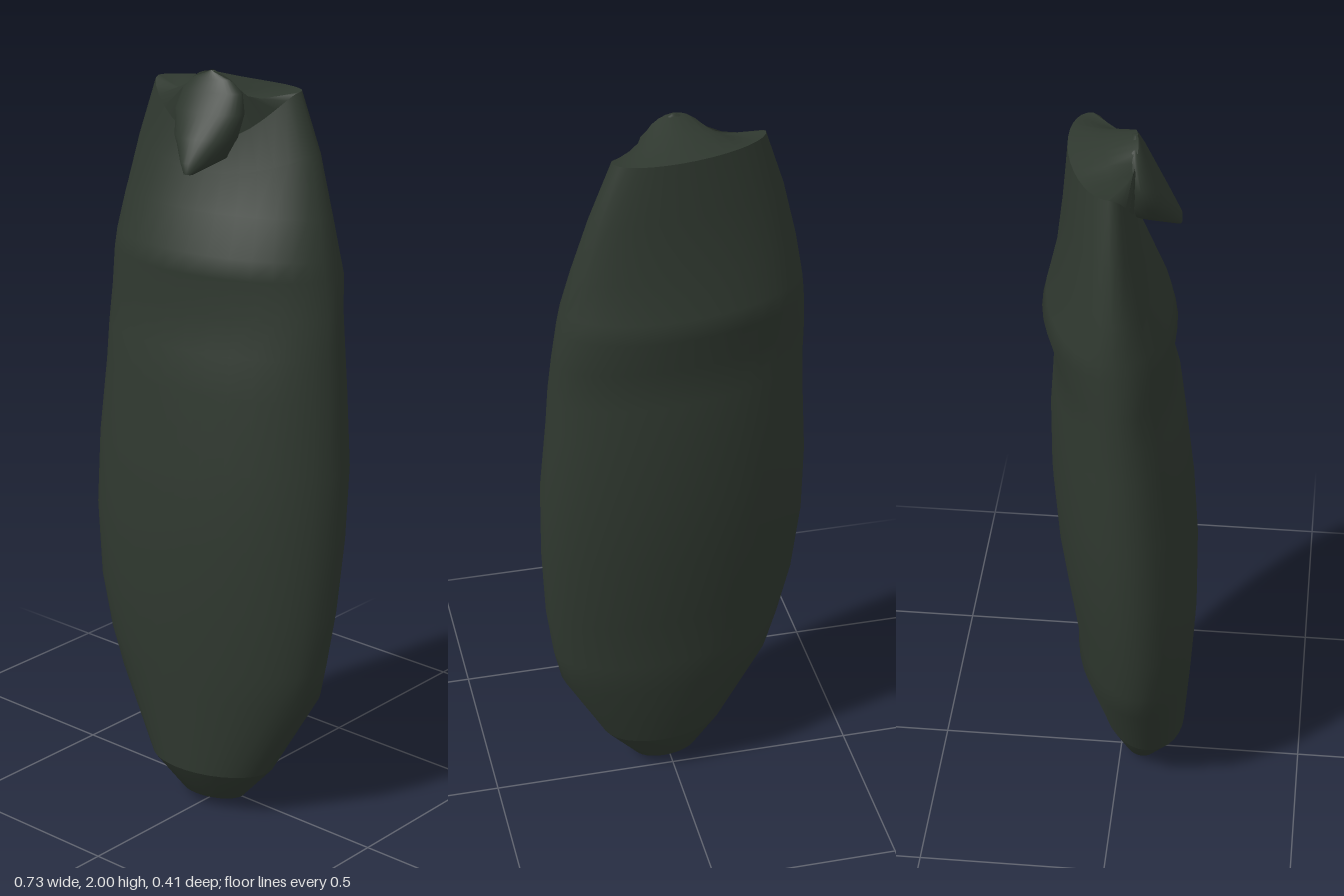
import * as THREE from 'three';

const N = 32;

// Elliptical ring: y, left/right x, front/back z, sideways skew, dip of the front edge
function ring([y, x0, x1, zf, zb, skew = 0.12, dip = 0]) {
  const pts = [];
  for (let i = 0; i < N; i++) {
    const a = (i / N) * Math.PI * 2;
    const c = Math.cos(a), s = Math.sin(a), w = (x1 - x0) / 2;
    pts.push(new THREE.Vector3(
      (x0 + x1) / 2 + w * c,
      y - (s > 0 ? dip * s * s : 0),
      (zf + zb) / 2 + ((zf - zb) / 2) * s - skew * w * c
    ));
  }
  return pts;
}

// Skin over rows of points
function loft(rows, closed) {
  const n = rows[0].length, idx = [];
  for (let r = 0; r < rows.length - 1; r++) {
    for (let c = 0; c < (closed ? n : n - 1); c++) {
      const d = (c + 1) % n, p = r * n, q = p + n;
      idx.push(p + c, q + c, p + d, q + c, q + d, p + d);
    }
  }
  const g = new THREE.BufferGeometry().setFromPoints(rows.flat());
  g.setIndex(idx);
  g.computeVertexNormals();
  return g;
}

export function createModel() {
  const group = new THREE.Group();
  const mat = new THREE.MeshStandardMaterial({ color: 0x2f382f, side: THREE.DoubleSide });
  mat.name = 'dark green';
  const add = (name, geo) => {
    const m = new THREE.Mesh(geo, mat);
    m.name = name;
    group.add(m);
  };

  // Long padded body
  const rows = [
    [0.13, -0.16, 0.19, 0.175, -0.05],
    [0.36, -0.28, 0.31, 0.19, -0.12],
    [0.45, -0.31, 0.33, 0.195, -0.12],
    [0.6, -0.345, 0.35, 0.203, -0.14],
    [0.8, -0.365, 0.36, 0.203, -0.167],
    [1.0, -0.365, 0.36, 0.19, -0.182],
    [1.2, -0.352, 0.342, 0.167, -0.182],
    [1.3, -0.348, 0.335, 0.155, -0.175],
    [1.4, -0.348, 0.325, 0.13, -0.168],
    [1.5, -0.34, 0.31, 0.142, -0.198],
    [1.55, -0.335, 0.3, 0.13, -0.187],
    [1.65, -0.317, 0.275, 0.09, -0.16, 0.14],
    [1.8, -0.28, 0.23, 0.05, -0.14, 0.17, 0.06],
    [1.95, -0.23, 0.17, 0.03, -0.125, 0.2, 0.13],
  ].map(ring);
  add('body', loft(rows, true));

  // Rounded foot below the hem
  add('foot', loft([
    ring([0, 0.005, 0.015, 0.055, 0.045]),
    ring([0.03, -0.08, 0.1, 0.11, 0.0]),
    rows[0],
  ], true));

  // Hood from the back edge to a ridge over the face
  const top = rows[rows.length - 1];
  const back = [...top.slice(N / 2), top[0]];
  const lip = top.slice(0, N / 2 + 1);
  const ridge = new THREE.CatmullRomCurve3([
    back[0],
    new THREE.Vector3(-0.1, 1.94, 0.035),
    new THREE.Vector3(-0.055, 1.985, 0.045),
    new THREE.Vector3(-0.01, 2, 0.04),
    new THREE.Vector3(0.04, 1.985, 0.03),
    new THREE.Vector3(0.09, 1.94, 0.005),
    back[N / 2],
  ]).getPoints(N / 2);
  const middle = back.map((p, i) => p.clone().lerp(ridge[i], 0.5));
  add('hood', loft([back, middle, ridge], false));

  // Sunken collar between the ridge and the front lip
  add('collar', loft([lip, [...ridge].reverse()], false));

  // Pointed beak hanging from the hood
  add('beak', loft([
    [1.757, -0.01, 0.015, 0.148, 0.13],
    [1.785, -0.045, 0.045, 0.148, 0.01],
    [1.84, -0.09, 0.075, 0.122, 0],
    [1.9, -0.108, 0.088, 0.09, 0],
    [1.95, -0.095, 0.075, 0.065, 0],
    [1.98, -0.065, 0.045, 0.05, 0.01],
    [2.0, -0.015, -0.005, 0.04, 0.03],
  ].map(ring), true));

  return group;
}
